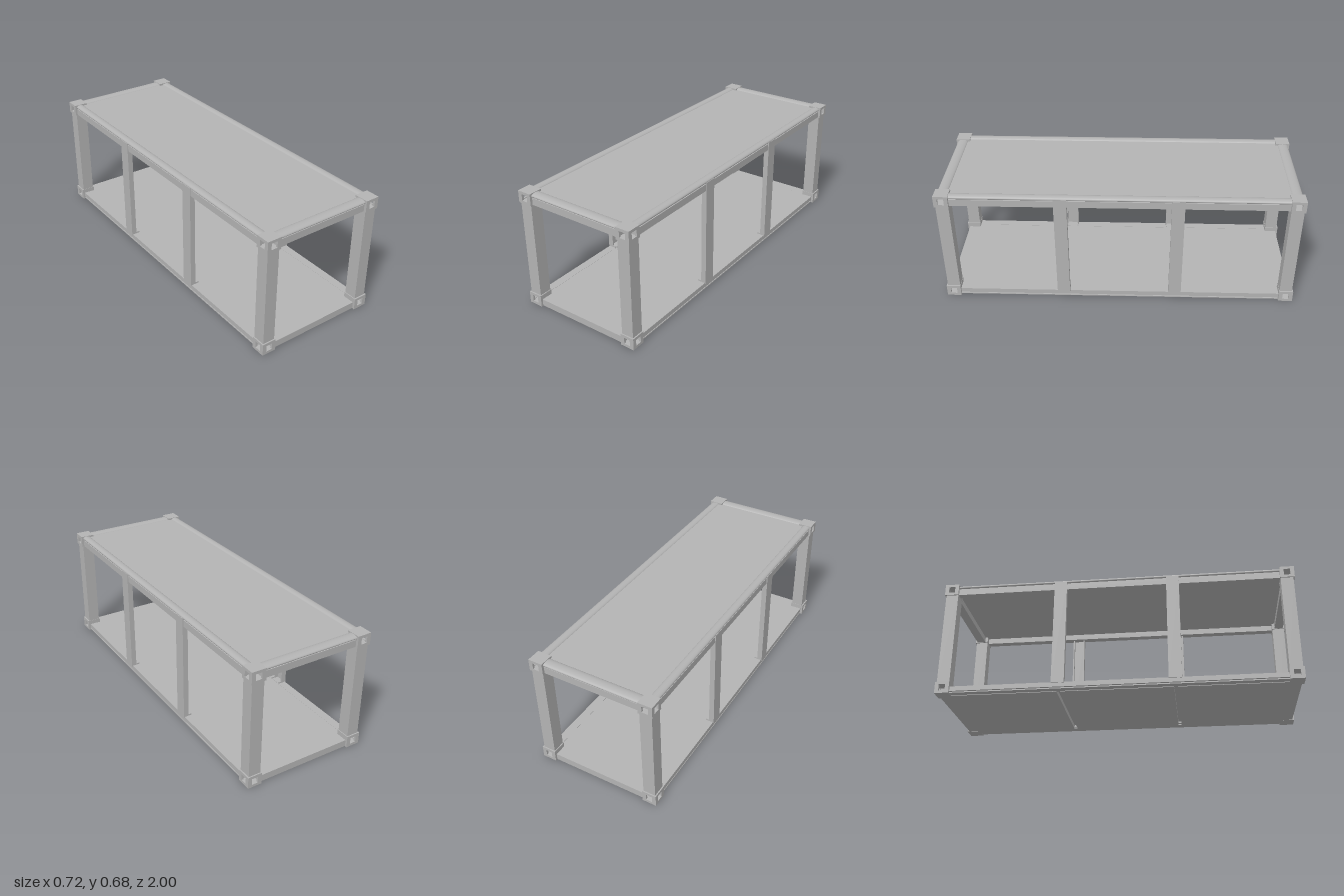
import * as THREE from 'three';

const grey = new THREE.MeshStandardMaterial({ color: 0xb3b3b3 });
grey.name = 'grey steel';

export function createModel() {
  const model = new THREE.Group();
  model.name = 'containerFrame';

  const add = (name, geometry, parent = model) => {
    const mesh = new THREE.Mesh(geometry, grey);
    mesh.name = name;
    parent.add(mesh);
    return mesh;
  };

  // Box given by its limits on each axis
  const box = (name, [x0, x1], [y0, y1], [z0, z1], parent = model) => {
    const mesh = add(name, new THREE.BoxGeometry(Math.abs(x1 - x0), y1 - y0, Math.abs(z1 - z0)), parent);
    mesh.position.set((x0 + x1) / 2, (y0 + y1) / 2, (z0 + z1) / 2);
    return mesh;
  };

  // Square-holed plate, centred, facing z
  const holedPlate = (w, h, t) => {
    const shape = new THREE.Shape([[-w, -h], [w, -h], [w, h], [-w, h]].map(([x, y]) => new THREE.Vector2(x / 2, y / 2)));
    const r = 0.018;
    shape.holes.push(new THREE.Path([[-r, -r], [-r, r], [r, r], [r, -r]].map(([x, y]) => new THREE.Vector2(x, y))));
    return new THREE.ExtrudeGeometry(shape, { depth: t, bevelEnabled: false }).translate(0, 0, -t / 2);
  };

  // Hollow corner casting with holes in its two outer sides
  const W = 0.082, H = 0.067, D = 0.08, T = 0.012;
  const casting = (sx, y, sz) => {
    const g = new THREE.Group();
    g.name = 'cornerCasting';
    g.position.set(sx * (0.36 - W / 2), y, sz * (1 - D / 2));
    add('endFace', holedPlate(W, H, T), g).position.z = sz * (D - T) / 2;
    const side = add('sideFace', holedPlate(D, H, T), g);
    side.rotation.y = Math.PI / 2;
    side.position.x = sx * (W - T) / 2;
    box('castingTop', [-W / 2, W / 2], [H / 2 - T, H / 2], [-D / 2, D / 2], g);
    box('castingBottom', [-W / 2, W / 2], [-H / 2, -H / 2 + T], [-D / 2, D / 2], g);
    box('innerSide', [-sx * W / 2, -sx * (W / 2 - T)], [-H / 2, H / 2], [-D / 2, D / 2], g);
    box('innerEnd', [-W / 2, W / 2], [-H / 2, H / 2], [-sz * D / 2, -sz * (D / 2 - T)], g);
    model.add(g);
  };

  // Flattened round cap that runs along the top of a roof rail
  const railCap = (name, length, alongX) => {
    const geo = new THREE.CylinderGeometry(1, 1, length, 32);
    if (alongX) geo.rotateZ(Math.PI / 2).scale(1, 0.0125, 0.03);
    else geo.rotateX(Math.PI / 2).scale(0.024, 0.0125, 1);
    geo.computeVertexNormals();
    return add(name, geo);
  };

  for (const sx of [-1, 1]) {
    for (const sz of [-1, 1]) {
      casting(sx, H / 2, sz);
      casting(sx, 0.68 - H / 2, sz);
      box('cornerPost', [sx * 0.283, sx * 0.353], [0.06, 0.62], [sz * 0.922, sz * 0.993]);

      // Channel post, open toward the inside, on a flanged foot
      const z = sz * 0.32;
      box('middlePostWeb', [sx * 0.343, sx * 0.352], [0.04, 0.664], [z - 0.036, z + 0.036]);
      for (const f of [-1, 1]) {
        box('middlePostFlange', [sx * 0.322, sx * 0.352], [0.04, 0.65], [z + f * 0.028, z + f * 0.036]);
        box('footLip', [sx * 0.302, sx * 0.322], [0.04, 0.05], [z + f * 0.03, z + f * 0.036]);
      }
      box('middlePostFoot', [sx * 0.302, sx * 0.352], [0.036, 0.043], [z - 0.036, z + 0.036]);
    }

    // Long rails
    box('sideRoofRail', [sx * 0.305, sx * 0.347], [0.616, 0.655], [-0.925, 0.925]);
    railCap('sideRoofRailCap', 1.85, false).position.set(sx * 0.325, 0.6655, 0);
    box('sideFloorRailWeb', [sx * 0.322, sx * 0.335], [0.004, 0.041], [-0.925, 0.925]);
    box('sideFloorRailTop', [sx * 0.3, sx * 0.347], [0.014, 0.041], [-0.925, 0.925]);
    box('sideFloorRailLip', [sx * 0.3, sx * 0.347], [0.003, 0.009], [-0.925, 0.925]);

    // End rails (sx doubles as the end sign)
    box('endRoofRail', [-0.285, 0.285], [0.616, 0.655], [sx * 0.935, sx * 0.986]);
    railCap('endRoofRailCap', 0.57, true).position.set(0, 0.6655, sx * 0.96);
    box('endFloorRail', [-0.285, 0.285], [0.002, 0.04], [sx * 0.93, sx * 0.988]);
  }

  // Roof and floor plates
  box('roofPlate', [-0.307, 0.307], [0.65, 0.669], [-0.937, 0.937]);
  box('floorPlate', [-0.31, 0.31], [0.025, 0.04], [-0.935, 0.935]);

  // Underfloor panels with narrow gaps between them
  for (const [z0, z1] of [[-0.935, -0.33], [-0.31, 0.31], [0.33, 0.935]]) {
    box('underfloorPanel', [-0.31, 0.31], [0, 0.026], [z0, z1]);
  }

  return model;
}
